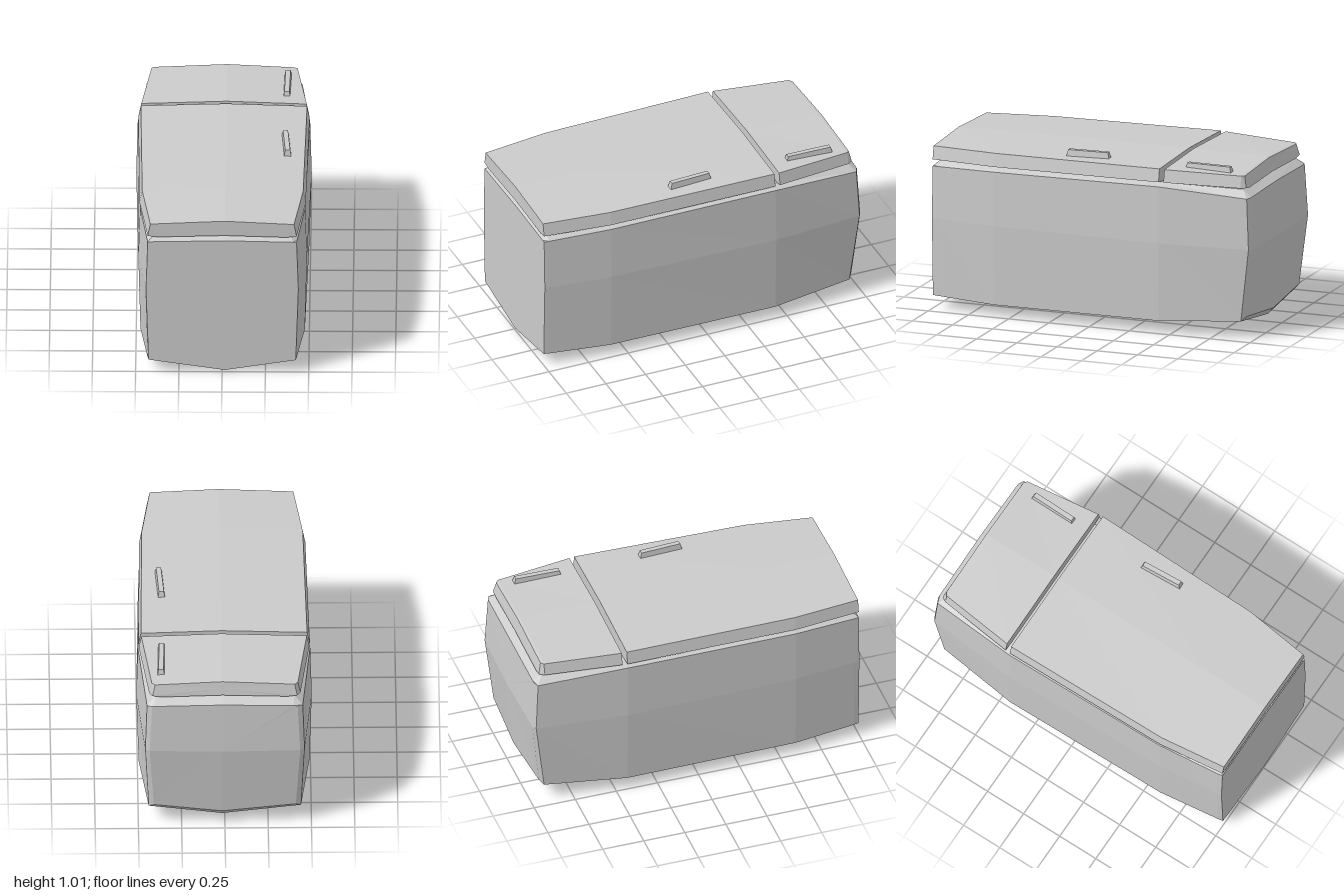
import * as THREE from 'three';

const material = new THREE.MeshStandardMaterial({ color: 0xcccccc, flatShading: true });

// Closed ring from a half outline (bottom centre, right side, top centre), mirrored in x.
function ring(half) {
  const left = half.slice(1, -1).reverse().map(([x, y, z]) => [-x, y, z]);
  return [...half, ...left];
}

// Skin over rings running from front to back, with fan caps around two given points.
function loft(name, rings, frontCentre, backCentre) {
  const pos = [];
  const tri = (...p) => p.forEach((v) => pos.push(...v));
  const n = rings[0].length;
  for (let i = 0; i < n; i++) {
    const j = (i + 1) % n;
    for (let k = 0; k < rings.length - 1; k++) {
      const [a, b, c, d] = [rings[k][i], rings[k][j], rings[k + 1][j], rings[k + 1][i]];
      tri(a, d, b);
      tri(b, d, c);
    }
    const last = rings[rings.length - 1];
    tri(frontCentre, rings[0][i], rings[0][j]);
    tri(backCentre, last[j], last[i]);
  }
  const geo = new THREE.BufferGeometry();
  geo.setAttribute('position', new THREE.Float32BufferAttribute(pos, 3));
  geo.computeVertexNormals();
  const mesh = new THREE.Mesh(geo, material);
  mesh.name = name;
  return mesh;
}

const MID = 0.015; // the centre crease sits slightly off the axis

// Cabinet: bottom crease, bottom corner, bulging side, top corner, lip, top crease.
function cabinet() {
  const rings = [
    [[MID, 0.012, 1], [0.425, 0.078, 1], [0.44, 0.54, 1], [0.43, 0.848, 1], [0.41, 0.849, 1], [MID, 0.857, 1]],
    [[MID, 0.011, 0.97], [0.43, 0.077, 0.97], [0.444, 0.54, 0.97], [0.434, 0.849, 0.97], [0.395, 0.876, 0.97], [MID, 0.884, 0.97]],
    [[MID, 0, 0.6], [0.475, 0.068, 0.6], [0.487, 0.54, 0.6], [0.477, 0.86, 0.6], [0.43, 0.881, 0.6], [MID, 0.889, 0.6]],
    [[MID, 0.014, -0.43], [0.493, 0.075, -0.43], [0.507, 0.54, -0.43], [0.498, 0.875, -0.43], [0.445, 0.889, -0.43], [MID, 0.896, -0.43]],
    // rounded corner and back panel
    [[MID, 0.05, -0.92], [0.44, 0.105, -0.92], [0.46, 0.54, -0.975], [0.45, 0.84, -0.96], [0.4, 0.884, -0.92], [MID, 0.892, -0.92]],
    [[MID, 0.09, -0.955], [0.41, 0.13, -0.945], [0.435, 0.54, -0.99], [0.42, 0.843, -0.975], [0.4, 0.845, -0.976], [MID, 0.855, -0.98]],
  ].map(ring);
  return loft('cabinet', rings, [MID, 0.54, 1], [MID, 0.54, -1]);
}

// Door slab: [z, half width, lower edge y, upper edge y, crown y, z shift of the top]
function door(name, sections) {
  const rings = sections.map(([z, w, low, high, crown, shift = 0]) => ring([
    [MID, low + 0.003, z],
    [w - 0.055, low - 0.008, z],
    [w, low, z],
    [w - 0.015, high, z + shift],
    [MID, crown, z + shift],
  ]));
  const centre = ([z, , low, , crown, shift = 0]) => [MID, (low + crown) / 2, z + shift / 2];
  return loft(name, rings, centre(sections[0]), centre(sections[sections.length - 1]));
}

// Handle: a low bar whose top is drawn in.
function handle(name, length, height, x, y, z, turn) {
  const geo = new THREE.BoxGeometry(0.044, height, length);
  const p = geo.attributes.position;
  for (let i = 0; i < p.count; i++) {
    if (p.getY(i) > 0) {
      p.setX(i, p.getX(i) * 0.65);
      p.setZ(i, p.getZ(i) - Math.sign(p.getZ(i)) * 0.012);
    }
  }
  geo.computeVertexNormals();
  const mesh = new THREE.Mesh(geo, material);
  mesh.name = name;
  mesh.position.set(x, y + height / 2, z);
  mesh.rotation.y = turn;
  return mesh;
}

export function createModel() {
  const group = new THREE.Group();
  group.name = 'refrigerator';
  group.add(
    cabinet(),
    door('mainDoor', [
      [1, 0.43, 0.888, 0.965, 0.985],
      [0.6, 0.48, 0.892, 0.97, 0.989],
      [-0.43, 0.495, 0.902, 0.978, 0.993],
    ]),
    door('freezerDoor', [
      [-0.46, 0.493, 0.902, 0.976, 0.993],
      [-0.915, 0.437, 0.897, 0.967, 0.988],
      [-0.945, 0.418, 0.897, 0.965, 0.985, 0.015],
    ]),
    handle('mainDoorHandle', 0.265, 0.048, 0.365, 0.966, 0.055, 0.06),
    handle('freezerDoorHandle', 0.29, 0.045, 0.365, 0.958, -0.695, -0.02),
  );
  return group;
}
